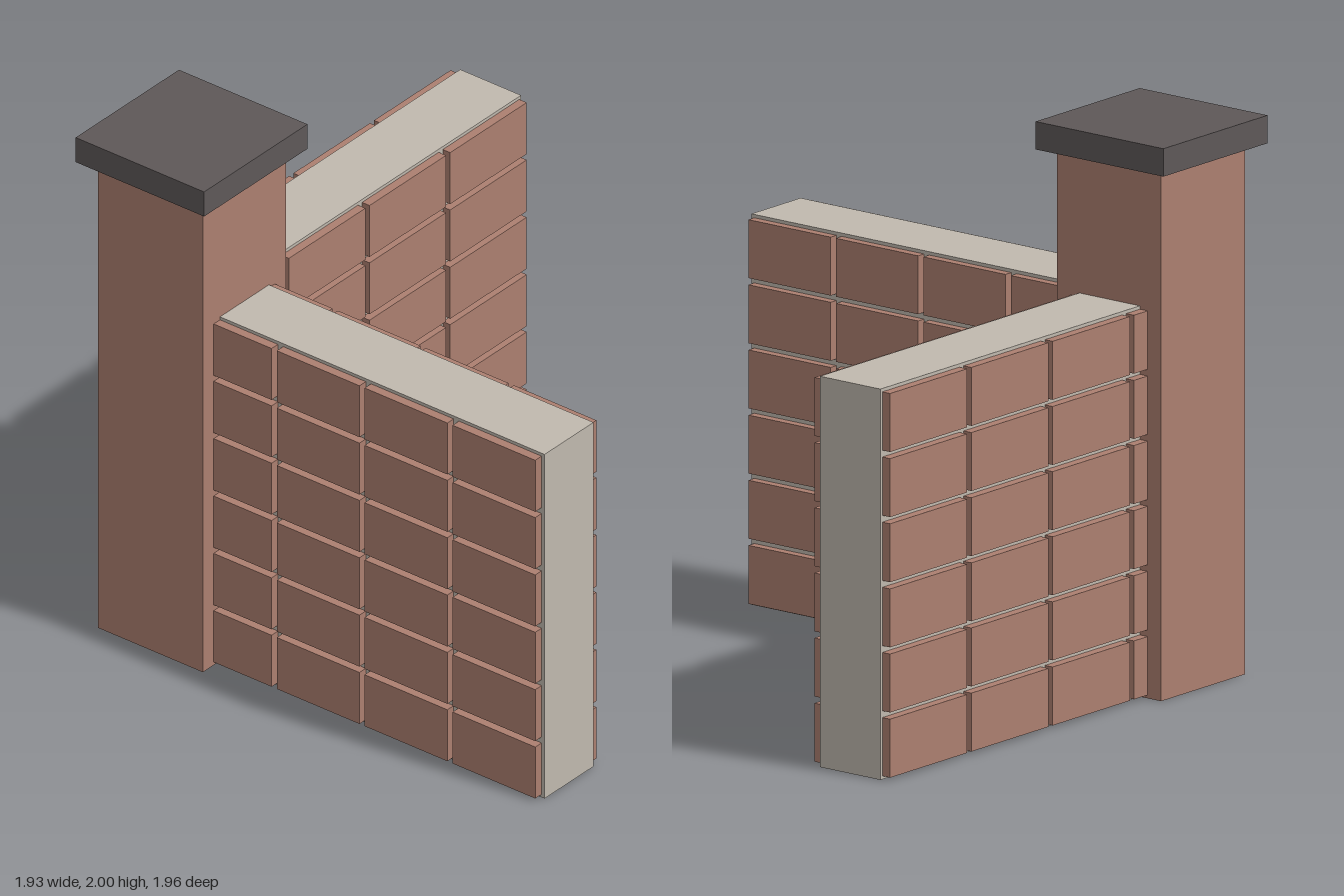
import * as THREE from 'three';

const material = (name, color) => {
  const m = new THREE.MeshStandardMaterial({ color });
  m.name = name;
  return m;
};

// Box given by its [min, max] range on each axis
function box(name, mat, [x0, x1], [y0, y1], [z0, z1]) {
  const mesh = new THREE.Mesh(new THREE.BoxGeometry(x1 - x0, y1 - y0, z1 - z0), mat);
  mesh.name = name;
  mesh.position.set((x0 + x1) / 2, (y0 + y1) / 2, (z0 + z1) / 2);
  return mesh;
}

export function createModel() {
  const brick = material('brick red', 0xac7f70);
  const mortar = material('mortar grey', 0xc0b9ae);
  const stone = material('dark stone', 0x5e5858);
  const brass = material('brass', 0xc69f68);
  const model = new THREE.Group();
  model.name = 'brickCorner';

  // Corner pillar and its cap
  model.add(box('pillar', brick, [-0.915, -0.455], [0, 1.9], [-0.925, -0.46]));
  model.add(box('pillarCap', stone, [-0.97, -0.4], [1.9, 2], [-0.98, -0.41]));

  // Mortar cores, ending just inside the pillar
  const backWall = new THREE.Group();
  backWall.name = 'backWall';
  backWall.add(box('backWallCore', mortar, [-0.47, 0.965], [0, 1.4], [-0.83, -0.56]));
  const sideWall = new THREE.Group();
  sideWall.name = 'sideWall';
  sideWall.add(box('sideWallCore', mortar, [-0.82, -0.55], [0, 1.4], [-0.475, 0.98]));
  model.add(backWall, sideWall);

  // Raised bricks on both faces of each wall: six rows of four
  const pitchY = 1.4 / 6;
  for (let row = 0; row < 6; row++) {
    const y = [row * pitchY + 0.012, (row + 1) * pitchY - 0.012];
    for (let col = 0; col < 4; col++) {
      const x = [0.533 - col * 0.445, 0.955 - col * 0.445];
      const z = [0.6 - col * 0.39, 0.967 - col * 0.39];
      backWall.add(box('backWallBrick', brick, x, y, [-0.57, -0.527]));
      backWall.add(box('backWallBrick', brick, x, y, [-0.865, -0.82]));
      sideWall.add(box('sideWallBrick', brick, [-0.56, -0.518], y, z));
      sideWall.add(box('sideWallBrick', brick, [-0.855, -0.81], y, z));
    }
  }

  // Small fixture low in the corner
  const fixture = new THREE.Group();
  fixture.name = 'fixture';
  fixture.add(box('fixtureHousing', stone, [-0.493, -0.285], [0.09, 0.298], [-0.45, -0.388]));
  fixture.add(box('fixturePlate', brass, [-0.462, -0.316], [0.11, 0.233], [-0.392, -0.356]));
  model.add(fixture);

  return model;
}
